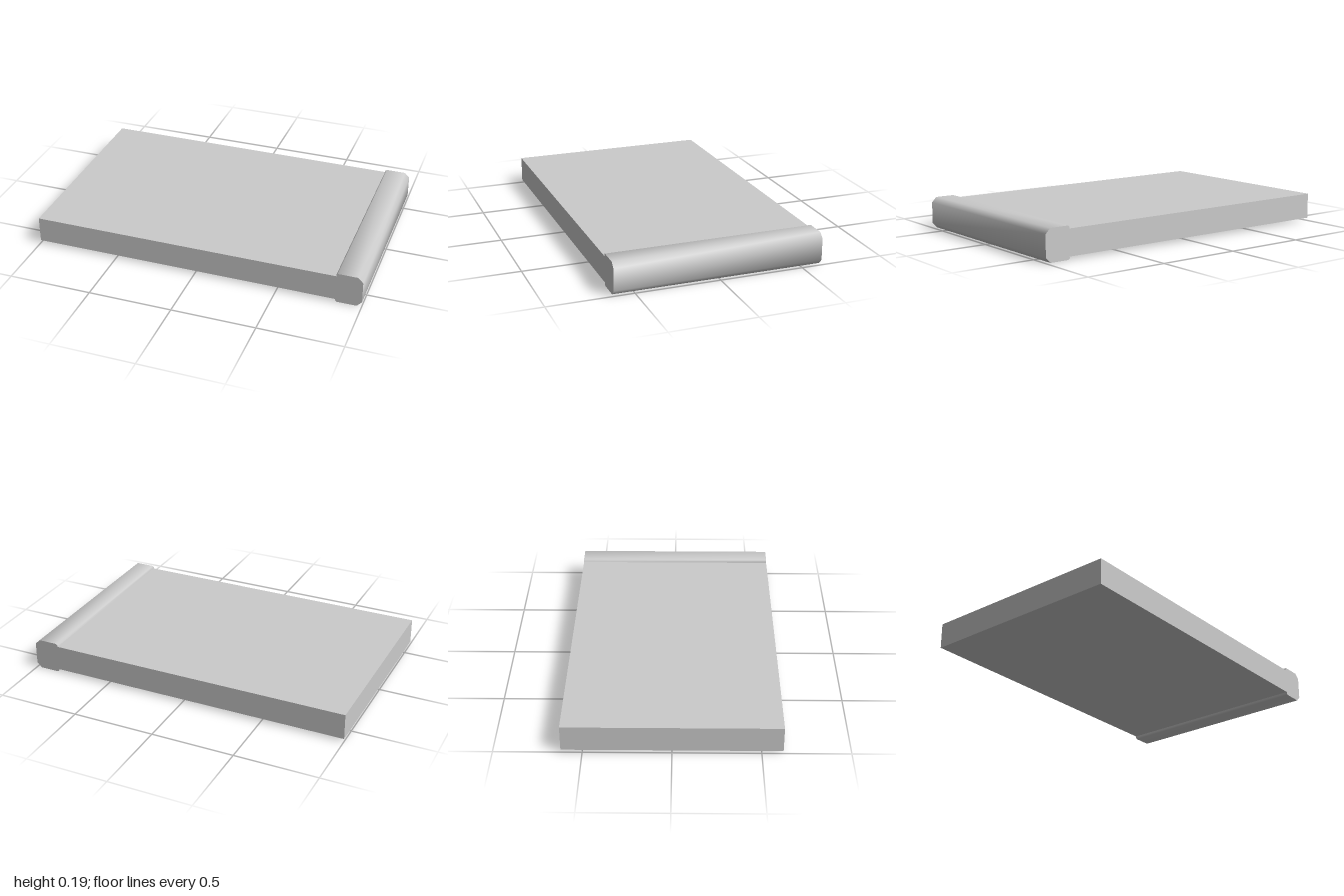
import * as THREE from 'three';
import { toCreasedNormals } from 'three/addons/utils/BufferGeometryUtils.js';

const DEPTH = 1.24, HEIGHT = 0.19, SEAM = 0.845;

export function createModel() {
  const group = new THREE.Group();
  const material = new THREE.MeshStandardMaterial({ color: 0xcccccc });

  // Flat slab that butts against the edge strip
  const slab = new THREE.Mesh(new THREE.BoxGeometry(SEAM + 1, 0.155, DEPTH), material);
  slab.name = 'slab';
  slab.position.set((SEAM - 1) / 2, HEIGHT / 2, 0);
  group.add(slab);

  // Thicker edge strip: wide bevels outside, tiny ones at the seam
  const outer = 0.03, inner = 0.008;
  const profile = new THREE.Shape([
    [SEAM + inner, 0], [1 - outer, 0], [1, outer], [1, HEIGHT - outer],
    [1 - outer, HEIGHT], [SEAM + inner, HEIGHT], [SEAM, HEIGHT - inner], [SEAM, inner],
  ].map(([x, y]) => new THREE.Vector2(x, y)));
  const stripGeometry = new THREE.ExtrudeGeometry(profile, { depth: DEPTH, bevelEnabled: false });
  stripGeometry.translate(0, 0, -DEPTH / 2);

  // Bevels shade softly, the end caps stay sharp
  const strip = new THREE.Mesh(toCreasedNormals(stripGeometry, Math.PI * 0.28), material);
  strip.name = 'edgeStrip';
  group.add(strip);

  return group;
}
